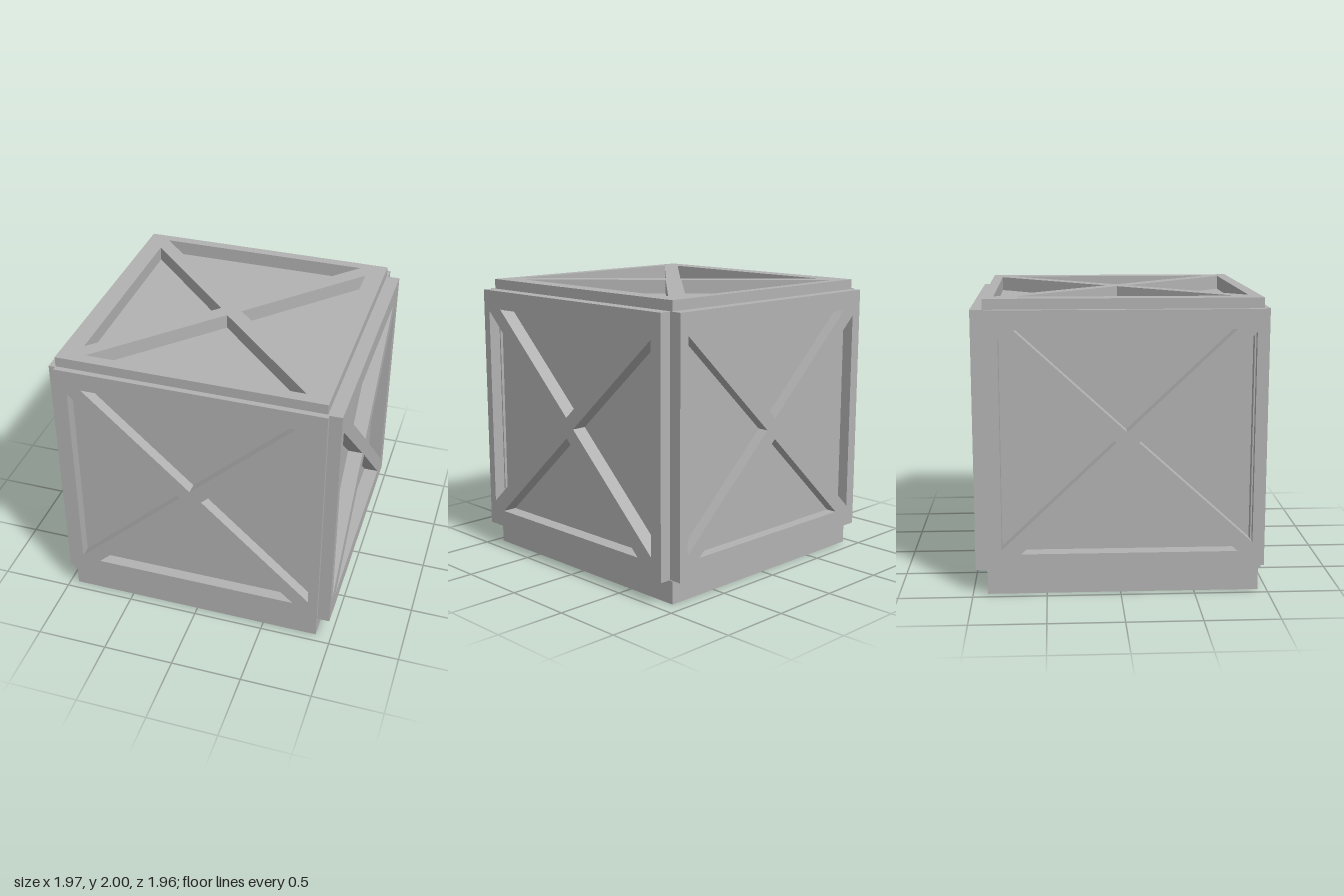
import * as THREE from 'three';

// Braced panel: outer rectangle [x0, y0, x1, y1] with four triangular openings
function bracedPanel(rect, openings, depth) {
  const [x0, y0, x1, y1] = rect;
  const toPoints = (pts) => pts.map(([x, y]) => new THREE.Vector2(x, y));
  const shape = new THREE.Shape(toPoints([[x0, y0], [x1, y0], [x1, y1], [x0, y1]]));
  for (const tri of openings) shape.holes.push(new THREE.Path(toPoints(tri)));
  return new THREE.ExtrudeGeometry(shape, { depth, bevelEnabled: false });
}

export function createModel() {
  const crate = new THREE.Group();
  crate.name = 'crate';
  const grey = new THREE.MeshStandardMaterial({ color: 0xb2b2b2 });
  grey.name = 'grey';

  const add = (name, geometry) => {
    const mesh = new THREE.Mesh(geometry, grey);
    mesh.name = name;
    crate.add(mesh);
  };

  // Solid core, whose faces are the recessed boards
  add('core', new THREE.BoxGeometry(1.76, 1.78, 1.8).translate(0, 1.01, 0));

  // Front and back frames
  const frontHoles = [
    [[-0.76, 1.8], [0.7, 1.8], [-0.02, 1.12]],
    [[-0.73, 0.3], [0.72, 0.3], [-0.02, 0.975]],
    [[-0.86, 1.75], [-0.86, 0.32], [-0.09, 1.05]],
    [[0.83, 1.78], [0.83, 0.34], [0.06, 1.05]],
  ];
  const front = bracedPanel([-0.94, 0.17, 0.9, 1.93], frontHoles, 0.1);
  add('frontFrame', front.clone().translate(0, 0, 0.88));
  add('backFrame', front.clone().translate(0, 0, -0.98));

  // Side frames, drawn with -z as the horizontal axis
  const sideHoles = [
    [[-0.76, 1.8], [0.7, 1.8], [-0.04, 1.12]],
    [[-0.79, 0.29], [0.67, 0.29], [-0.04, 0.975]],
    [[-0.89, 1.78], [-0.89, 0.35], [-0.12, 1.05]],
    [[0.8, 1.75], [0.8, 0.32], [0.03, 1.05]],
  ];
  const side = bracedPanel([-0.95, 0.17, 0.89, 1.93], sideHoles, 0.12).rotateY(Math.PI / 2);
  add('leftFrame', side.clone().translate(0.865, 0, 0));
  add('rightFrame', side.clone().translate(-0.985, 0, 0));

  // Top and bottom frames, drawn with -z as the vertical axis
  const lidHoles = [
    [[-0.79, 0.83], [0.7, 0.83], [-0.03, 0.06]],
    [[-0.76, -0.86], [0.73, -0.86], [-0.03, -0.1]],
    [[-0.81, 0.7], [-0.81, -0.76], [-0.1, -0.02]],
    [[0.76, 0.73], [0.76, -0.74], [0.05, -0.02]],
  ];
  const lid = (depth) =>
    bracedPanel([-0.94, -0.94, 0.89, 0.9], lidHoles, depth).rotateX(-Math.PI / 2);
  add('topFrame', lid(0.12).translate(0, 1.88, 0));
  add('bottomFrame', lid(0.16));

  return crate;
}
